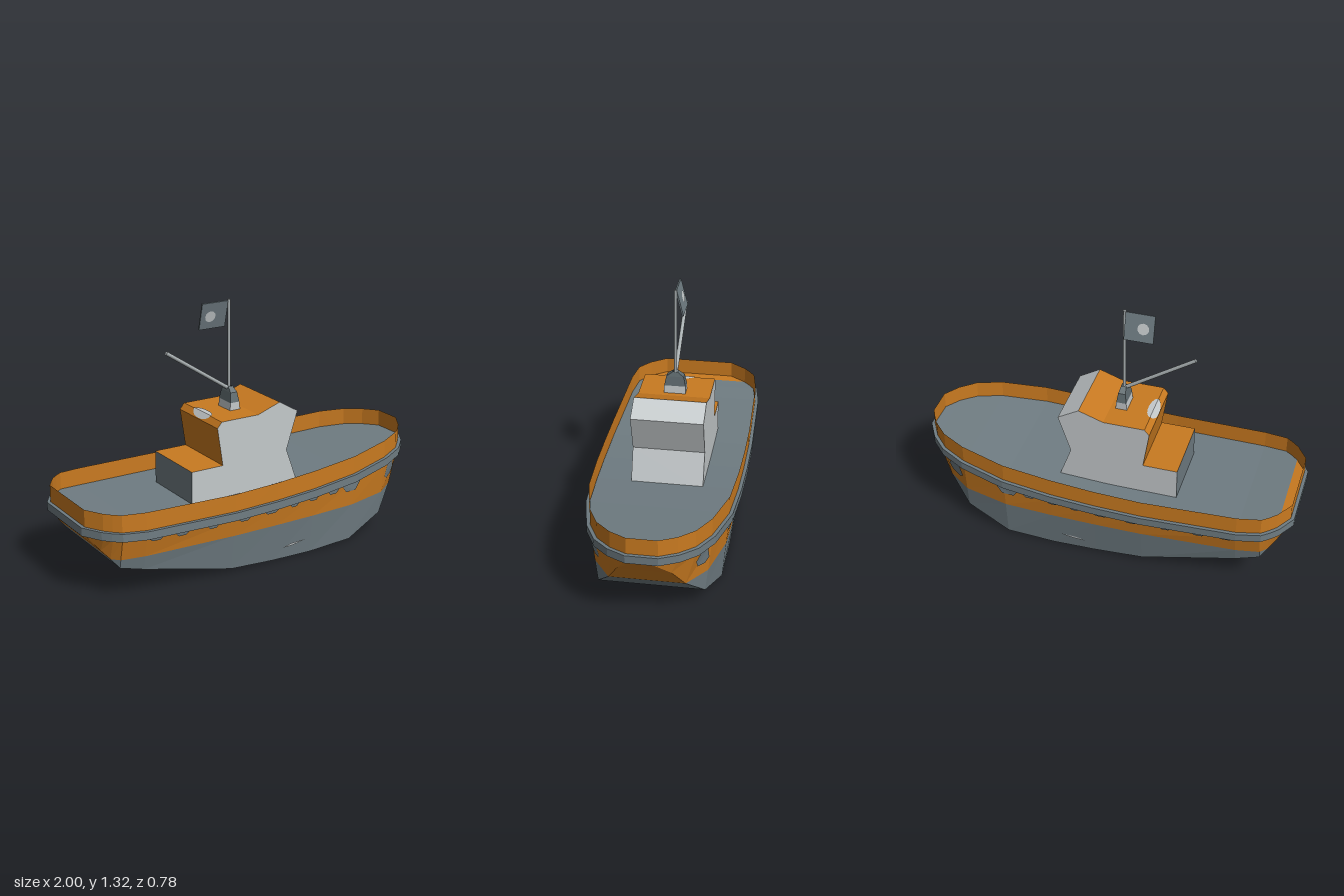
import * as THREE from 'three';

const paint = (name, color) => {
  const m = new THREE.MeshStandardMaterial({ color, side: THREE.DoubleSide });
  m.name = name;
  return m;
};
const orange = paint('orange', 0xc97a20);
const grey = paint('slate grey', 0x6f7c82);
const light = paint('light grey', 0xc4c9cb);
const dark = paint('dark grey', 0x5f6b6f);
const pale = paint('mast grey', 0xa9b0b2);

const V = (x, y, z) => new THREE.Vector3(x, y, z);
const WATER = 0.21, RAIL = 0.042;

// Hull stations: x, half width at rail, bottom y, bottom half width, rail y, sheer y
const stations = [
  [-0.985, 0.19, 0.325, 0.17, 0.325, 0.455],
  [-0.93, 0.275, 0.25, 0.24, 0.322, 0.452],
  [-0.896, 0.307, 0.21, 0.272, 0.32, 0.45],
  [-0.86, 0.335, 0.165, 0.3, 0.318, 0.449],
  [-0.74, 0.355, 0.135, 0.315, 0.31, 0.444],
  [-0.25, 0.37, 0.02, 0.325, 0.303, 0.436],
  [0, 0.37, 0.005, 0.325, 0.31, 0.445],
  [0.23, 0.365, 0, 0.325, 0.322, 0.46],
  [0.49, 0.35, 0.01, 0.32, 0.345, 0.482],
  [0.73, 0.295, 0.09, 0.265, 0.372, 0.507],
  [0.855, 0.235, 0.21, 0.187, 0.385, 0.518],
  [0.93, 0.16, 0.32, 0.13, 0.393, 0.524],
  [0.98, 0.075, 0.39, 0.05, 0.4, 0.53],
];

function flatMesh(name, material, points) {
  const g = new THREE.BufferGeometry().setFromPoints(points);
  g.computeVertexNormals();
  const mesh = new THREE.Mesh(g, material);
  mesh.name = name;
  return mesh;
}

// Strip of flat quads between two rows of points
function ribbon(name, material, a, b, closed = false) {
  const pts = [];
  for (let i = 0; i < a.length - (closed ? 0 : 1); i++) {
    const j = (i + 1) % a.length;
    pts.push(a[i], a[j], b[j], a[i], b[j], b[i]);
  }
  return flatMesh(name, material, pts);
}

// Row of hull points on one side; a closed ring runs along both sides
const row = (fn, side) => stations.map((s) => {
  const [w, y] = fn(s);
  return V(s[0], y, w * side);
});
const ring = (fn) => [...row(fn, 1), ...row(fn, -1).reverse()];

const bottomAt = (s) => [s[3], s[2]];
const waterAt = (s) => {
  const y = Math.max(s[2], WATER);
  const t = (y - s[2]) / Math.max(s[4] - s[2], 1e-6);
  return [s[3] + (s[1] - s[3]) * t, y];
};
const railAt = (s) => [s[1], s[4]];
const deckAt = (s) => [s[1], s[4] + RAIL];
const sheerAt = (s) => [s[1], s[5]];

// Point just outside the hull side, between bottom and rail
function onHull(x, y, side) {
  let i = 0;
  while (i < stations.length - 2 && stations[i + 1][0] < x) i++;
  const a = stations[i], b = stations[i + 1], t = (x - a[0]) / (b[0] - a[0]);
  const s = a.map((v, k) => v + (b[k] - v) * t);
  const w = s[3] + (s[1] - s[3]) * (y - s[2]) / (s[4] - s[2]);
  return V(x, y, side * (w + 0.006));
}

function hullPatch(name, material, outline, side) {
  const p = outline.map(([x, y]) => onHull(x, y, side));
  if (side < 0) p.reverse();
  const pts = [];
  for (let i = 1; i < p.length - 1; i++) pts.push(p[0], p[i], p[i + 1]);
  return flatMesh(name, material, pts);
}

function rod(name, material, from, to, radius) {
  const dir = to.clone().sub(from);
  const mesh = new THREE.Mesh(new THREE.CylinderGeometry(radius, radius, dir.length(), 8), material);
  mesh.name = name;
  mesh.position.copy(from).addScaledVector(dir, 0.5);
  mesh.quaternion.setFromUnitVectors(V(0, 1, 0), dir.normalize());
  return mesh;
}

function buildHull() {
  const g = new THREE.Group();
  g.name = 'hull';
  g.add(ribbon('lowerHull', grey, ring(bottomAt), ring(waterAt), true));
  g.add(ribbon('upperHull', orange, ring(waterAt), ring(railAt), true));
  g.add(ribbon('bulwark', orange, ring(railAt), ring(sheerAt), true));

  // Flat bottom, orange where it rises above the waterline
  const left = row(bottomAt, 1), right = row(bottomAt, -1);
  [['sternBottom', orange, 0, 3], ['bottom', grey, 2, 11], ['bowBottom', orange, 10, 13]].forEach(
    ([n, m, i, j]) => g.add(ribbon(n, m, right.slice(i, j), left.slice(i, j))));

  // Deck with an orange strip at the stern
  const dl = row(deckAt, 0.995), dr = row(deckAt, -0.995);
  g.add(ribbon('sternStrip', orange, dl.slice(0, 2), dr.slice(0, 2)));
  g.add(ribbon('deck', grey, dl.slice(1), dr.slice(1)));

  // Rubbing rail around the hull
  const inner = ring(railAt);
  const outer = inner.map((p, i) => {
    const n = inner.length;
    const d = inner[(i + 1) % n].clone().sub(inner[(i + n - 1) % n]);
    return p.clone().add(V(-d.z, 0, d.x).normalize().multiplyScalar(0.018));
  });
  const raise = (pts) => pts.map((p) => p.clone().add(V(0, RAIL, 0)));
  g.add(ribbon('railUnderside', grey, inner, outer, true));
  g.add(ribbon('railFace', grey, outer, raise(outer), true));
  g.add(ribbon('railTop', grey, raise(outer), raise(inner), true));

  // Painted patches: x, half width, drop below the rail
  const spots = [[-0.69, 0.04, 0.014], [-0.55, 0.04, 0.02], [-0.38, 0.035, 0.02], [-0.2, 0.04, 0.02],
    [-0.04, 0.045, 0.016], [0.1, 0.03, 0.018], [0.22, 0.035, 0.02], [0.35, 0.04, 0.025], [0.47, 0.065, 0.045]];
  for (const side of [1, -1]) {
    for (const [x, w, d] of spots) {
      const y = 0.305 + Math.max(0, x) * 0.075;
      g.add(hullPatch('railPatch', grey,
        [[x - w, y], [x - w * 0.5, y - d], [x + w * 0.5, y - d], [x + w, y]], side));
    }
    g.add(hullPatch('bowPatch', grey,
      [[0.745, 0.3], [0.77, 0.28], [0.82, 0.29], [0.84, 0.33], [0.82, 0.365], [0.765, 0.36]], side));
    g.add(hullPatch('scrape', light, [[0.05, 0.066], [0.12, 0.07], [0.19, 0.085], [0.1, 0.082]], side));
  }
  return g;
}

function buildCabin() {
  const g = new THREE.Group();
  g.name = 'cabin';
  const W = 0.185;
  const profile = [[-0.39, 0.35], [0.24, 0.35], [0.175, 0.53], [0.24, 0.73], [0.13, 0.795],
    [0, 0.75], [-0.215, 0.75], [-0.24, 0.72], [-0.21, 0.52], [-0.39, 0.52]];
  const edges = [['floor', light], ['frontWall', light], ['windscreen', light], ['visor', light],
    ['frontRoof', orange], ['roof', orange], ['roofBevel', orange], ['rearWall', orange],
    ['lockerTop', orange], ['lockerRear', grey]];
  edges.forEach(([name, mat], i) => {
    const ends = [profile[i], profile[(i + 1) % profile.length]];
    g.add(ribbon(name, mat, ends.map(([x, y]) => V(x, y, -W)), ends.map(([x, y]) => V(x, y, W))));
  });
  const shape = new THREE.Shape(profile.map(([x, y]) => new THREE.Vector2(x, y)));
  for (const side of [1, -1]) {
    const wall = new THREE.Mesh(new THREE.ShapeGeometry(shape), light);
    wall.name = 'sideWall';
    wall.position.z = side * W;
    if (side < 0) { wall.rotation.y = Math.PI; wall.scale.x = -1; }
    g.add(wall);
  }
  // Pale oval folded over the rear roof edge
  const arc = Array.from({ length: 11 }, (_, i) => (i / 10) * Math.PI);
  const edge = arc.map((a) => V(-0.215, 0.754, 0.08 * Math.cos(a)));
  const onRoof = arc.map((a) => V(-0.215 + 0.03 * Math.sin(a), 0.754, 0.08 * Math.cos(a)));
  const onBevel = arc.map((a) => V(-0.217 - 0.024 * Math.sin(a), 0.754 - 0.029 * Math.sin(a), 0.08 * Math.cos(a)));
  g.add(ribbon('roofOval', light, onRoof, edge), ribbon('bevelOval', light, edge, onBevel));
  return g;
}

function buildMast() {
  const g = new THREE.Group();
  g.name = 'mast';
  // Tapered foot: y, half x, half z
  const levels = [[0.75, 0.03, 0.055], [0.79, 0.026, 0.055], [0.84, 0.019, 0.045], [0.865, 0.013, 0.012]];
  const rings = levels.map(([y, a, b]) =>
    [[-a, b], [a, b], [a, -b], [-a, -b]].map(([x, z]) => V(-0.056 + x, y, z)));
  [['mastFoot', light], ['mastCollar', dark], ['mastCap', dark]].forEach(
    ([n, m], i) => g.add(ribbon(n, m, rings[i], rings[i + 1], true)));

  g.add(rod('pole', pale, V(-0.056, 0.85, 0), V(-0.056, 1.315, 0), 0.008));
  g.add(rod('boom', pale, V(-0.056, 0.85, 0), V(-0.42, 1.09, 0), 0.01));

  // Tilted flag with a pale spot on both faces
  const flag = new THREE.Group();
  flag.name = 'flag';
  flag.position.set(-0.137, 1.24, -0.018);
  flag.rotation.x = 0.25;
  const cloth = new THREE.Mesh(new THREE.BoxGeometry(0.15, 0.144, 0.008), grey);
  cloth.name = 'flagCloth';
  flag.add(cloth);
  for (const side of [1, -1]) {
    const spot = new THREE.Mesh(new THREE.CircleGeometry(0.03, 12), light);
    spot.name = 'flagSpot';
    spot.position.set(-0.02, -0.003, side * 0.006);
    if (side < 0) spot.rotation.y = Math.PI;
    flag.add(spot);
  }
  g.add(flag);
  return g;
}

export function createModel() {
  const boat = new THREE.Group();
  boat.name = 'boat';
  boat.add(buildHull(), buildCabin(), buildMast());
  return boat;
}
